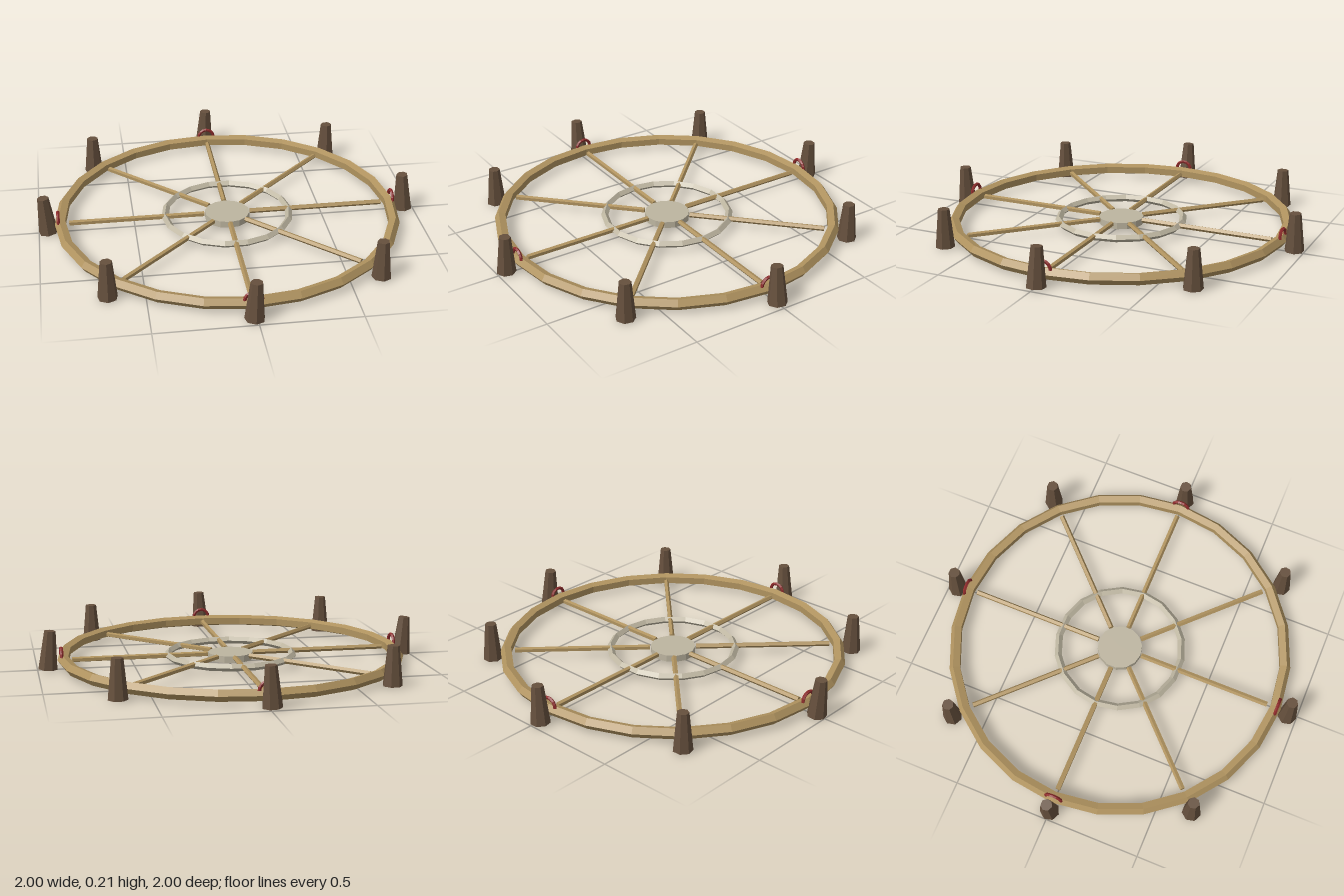
import * as THREE from 'three';

const mat = (color) => new THREE.MeshStandardMaterial({ color, flatShading: true });

export function createModel() {
  const model = new THREE.Group();
  const wood = mat(0xb0935f), bark = mat(0x66503d), stone = mat(0xbdb5a0), red = mat(0x8e2b2b);

  const wheel = new THREE.Group();
  wheel.name = 'wheel';
  wheel.position.x = -0.01;
  model.add(wheel);

  const add = (name, geometry, material, parent = wheel) => {
    const mesh = new THREE.Mesh(geometry, material);
    mesh.name = name;
    parent.add(mesh);
    return mesh;
  };

  // Rim and inner ring, lying flat
  const flatRing = (name, radius, tube, sides, segments, material, y) => {
    const g = new THREE.TorusGeometry(radius, tube, sides, segments);
    g.rotateX(-Math.PI / 2);
    add(name, g, material).position.y = y;
  };
  flatRing('rim', 0.877, 0.031, 5, 24, wood, 0.048);
  flatRing('innerRing', 0.33, 0.019, 4, 18, stone, 0.045);

  // Hub disc
  add('hub', new THREE.CylinderGeometry(0.118, 0.118, 0.035, 14), stone).position.y = 0.037;

  // Spokes and posts, eight of each
  const spokeGeo = new THREE.CylinderGeometry(0.014, 0.014, 0.71, 5);
  spokeGeo.rotateZ(-Math.PI / 2).translate(0.477, 0, 0);
  const postGeo = new THREE.CylinderGeometry(0.03, 0.05, 0.2, 7);
  for (let i = 0; i < 8; i++) {
    const a = (i * Math.PI) / 4;
    const spoke = add('spoke', spokeGeo, wood);
    spoke.position.y = 0.048;
    spoke.rotation.y = a;

    const post = add('post', postGeo, bark);
    post.position.set(0.95 * Math.cos(a), 0.105, -0.95 * Math.sin(a));
    // Posts lean a little sideways
    post.rotation.z = i % 4 === 0 ? 0.08 : i % 4 === 2 ? -0.04 : 0;
  }

  // Four arched handles on the rim
  const handleGeo = new THREE.TorusGeometry(0.042, 0.009, 5, 8, Math.PI);
  handleGeo.rotateY(Math.PI / 2);
  for (let i = 0; i < 4; i++) {
    const pivot = new THREE.Group();
    pivot.name = 'handle';
    pivot.rotation.y = (i * Math.PI) / 2;
    wheel.add(pivot);
    add('handleArch', handleGeo, red, pivot).position.set(0.887, 0.07, 0);
  }

  return model;
}
